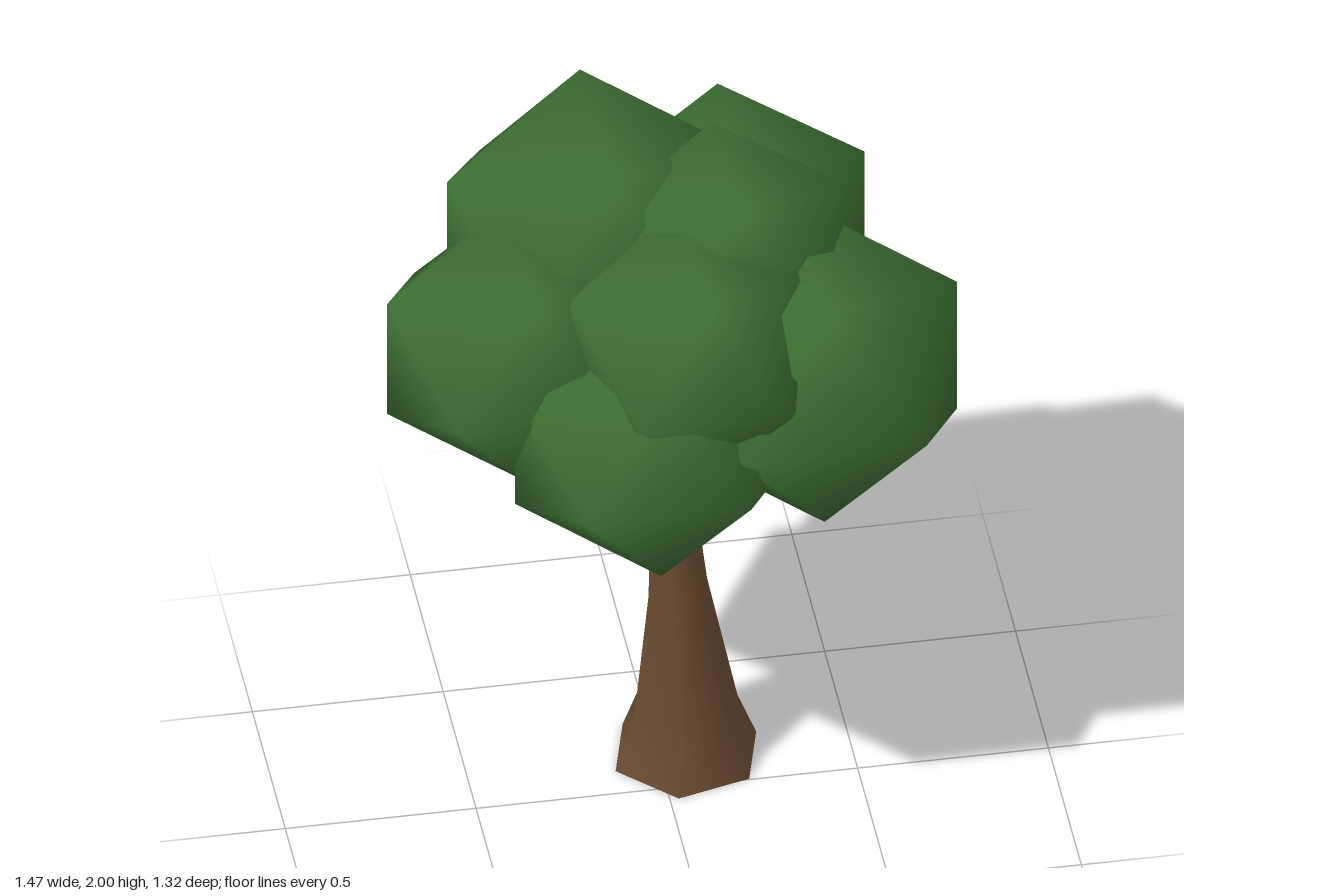
import * as THREE from 'three';
import { mergeVertices } from 'three/addons/utils/BufferGeometryUtils.js';

const bark = new THREE.MeshStandardMaterial({ color: 0x6b4c31 });
bark.name = 'bark brown';
const leaf = new THREE.MeshStandardMaterial({ color: 0x3c7032 });
leaf.name = 'leaf green';

// Smooth tapered limb through horizontal rings [x, y, z, radius], with flat end caps
function limb(rings, sides, turn = 0) {
  const pos = [], index = [];
  const point = ([x, y, z, r], k) => {
    const t = turn + (k % sides) / sides * Math.PI * 2;
    return [x + r * Math.cos(t), y, z + r * Math.sin(t)];
  };
  rings.forEach((ring) => {
    for (let k = 0; k < sides; k++) pos.push(...point(ring, k));
  });
  for (let i = 0; i < rings.length - 1; i++) {
    for (let k = 0; k < sides; k++) {
      const a = i * sides + k, b = i * sides + (k + 1) % sides;
      index.push(a, a + sides, b, b, a + sides, b + sides);
    }
  }
  [rings[0], rings[rings.length - 1]].forEach((ring, top) => {
    const c = pos.length / 3;
    pos.push(ring[0], ring[1], ring[2]);
    for (let k = 0; k < sides; k++) pos.push(...point(ring, k));
    for (let k = 0; k < sides; k++) {
      const a = c + 1 + k, b = c + 1 + (k + 1) % sides;
      index.push(c, top ? b : a, top ? a : b);
    }
  });
  const g = new THREE.BufferGeometry();
  g.setAttribute('position', new THREE.Float32BufferAttribute(pos, 3));
  g.setIndex(index);
  g.computeVertexNormals();
  return g;
}

// Smooth-shaded icosahedron; its outermost edges lie at +-1 on every axis
function clumpGeometry(rx, ry, rz) {
  let g = new THREE.IcosahedronGeometry(1, 0);
  g.deleteAttribute('normal');
  g.deleteAttribute('uv');
  g = mergeVertices(g, 1e-4);
  g.rotateY(Math.PI / 2);
  const s = 1 / 0.85065;
  g.scale(rx * s, ry * s, rz * s);
  g.computeVertexNormals();
  return g;
}

export function createModel() {
  const tree = new THREE.Group();
  tree.name = 'tree';
  const add = (name, geometry, material) => {
    const mesh = new THREE.Mesh(geometry, material);
    mesh.name = name;
    tree.add(mesh);
    return mesh;
  };

  // Leaning trunk with a flared foot
  add('trunk', limb([
    [0.075, 0, -0.145, 0.2],
    [0.073, 0.14, -0.142, 0.148],
    [0.05, 0.56, -0.122, 0.083],
    [0.027, 0.9, -0.092, 0.062],
    [0.015, 1.1, -0.093, 0.047],
    [0.01, 1.18, -0.095, 0.04],
  ], 6, -Math.PI / 12), bark);

  // Two branches reaching into the crown
  add('backBranch', limb([
    [0.05, 0.9, -0.1, 0.035],
    [0.14, 1.06, -0.1, 0.03],
    [0.22, 1.18, -0.1, 0.024],
    [0.27, 1.32, -0.1, 0.018],
  ], 5), bark);
  add('frontBranch', limb([
    [0.05, 0.91, -0.07, 0.035],
    [0.11, 1.05, 0, 0.028],
    [0.2, 1.15, 0.11, 0.024],
    [0.28, 1.24, 0.17, 0.018],
  ], 5), bark);

  // Crown: centre, then half extents
  const clumps = {
    rightSideClump: [[-0.4, 1.53, 0.04], [0.34, 0.29, 0.345]],
    leftSideClump: [[0.34, 1.485, 0.175], [0.39, 0.335, 0.405]],
    lowerFrontClump: [[-0.105, 1.4, 0.3], [0.345, 0.295, 0.36]],
    upperFrontClump: [[0.03, 1.625, 0.225], [0.32, 0.275, 0.36]],
    topClump: [[0.16, 1.725, -0.04], [0.32, 0.25, 0.31]],
    backClump: [[-0.145, 1.65, -0.24], [0.39, 0.35, 0.39]],
    backLeftClump: [[0.225, 1.57, -0.33], [0.35, 0.295, 0.33]],
    innerClump: [[-0.1, 1.395, -0.06], [0.34, 0.285, 0.34]],
  };
  for (const [name, [centre, size]] of Object.entries(clumps)) {
    add(name, clumpGeometry(...size), leaf).position.set(...centre);
  }
  return tree;
}
